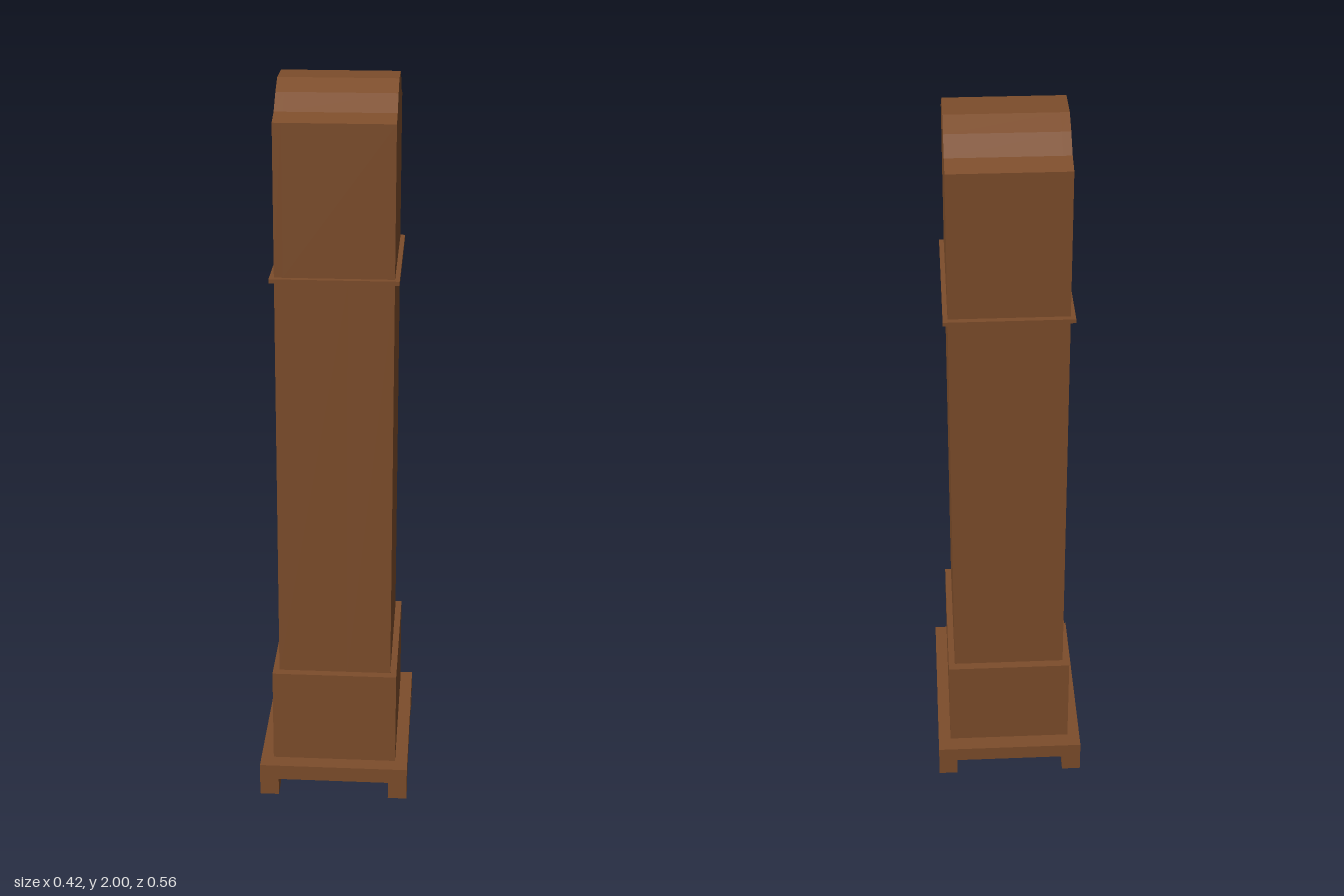
import * as THREE from 'three';

const material = (name, color) => {
  const m = new THREE.MeshStandardMaterial({ color });
  m.name = name;
  return m;
};

export function createModel() {
  const clock = new THREE.Group();
  clock.name = 'longcaseClock';
  const wood = material('brown wood', 0x7d4d2b);
  const white = material('dial white', 0xdedede);
  const dark = material('hand grey', 0x4a4a4a);
  const metal = material('weight grey', 0x6c6f72);

  const add = (name, geometry, mat, x = 0, y = 0, z = 0) => {
    const mesh = new THREE.Mesh(geometry, mat);
    mesh.name = name;
    mesh.position.set(x, y, z);
    clock.add(mesh);
    return mesh;
  };
  // Box spanning y0..y1, centred on x and z
  const block = (name, w, y0, y1, d, x = 0, z = 0) =>
    add(name, new THREE.BoxGeometry(w, y1 - y0, d), wood, x, (y0 + y1) / 2, z);
  // Outline given as [z, y] pairs, extruded along x from x0 to x1;
  // reversed so that the mirrored outline stays counter-clockwise
  const path = pts => pts.map(([z, y]) => new THREE.Vector2(-z, y)).reverse();
  const slab = (name, pts, x0, x1, mat, hole) => {
    const shape = new THREE.Shape(path(pts));
    if (hole) shape.holes.push(new THREE.Path(path(hole).reverse()));
    const g = new THREE.ExtrudeGeometry(shape, { depth: x1 - x0, bevelEnabled: false });
    g.rotateY(Math.PI / 2);
    return add(name, g, mat, x0);
  };
  const rect = (w, y0, y1) => [[-w, y0], [w, y0], [w, y1], [-w, y1]];
  // Cylinder lying along x
  const disc = (name, r, x0, x1, y, z, mat) =>
    add(name, new THREE.CylinderGeometry(r, r, x1 - x0, 48).rotateZ(Math.PI / 2), mat, (x0 + x1) / 2, y, z);

  // Base with four square feet, and the plinth
  for (const sx of [-1, 1]) for (const sz of [-1, 1])
    block('foot', 0.053, 0, 0.05, 0.068, sx * 0.182, sz * 0.244);
  block('base', 0.417, 0.05, 0.094, 0.556);
  block('plinth', 0.347, 0.094, 0.365, 0.464);

  // Trunk: hollow cabinet open towards -x, closed by a solid back
  slab('trunkCabinet', rect(0.208, 0.365, 1.503), -0.156, 0.035, wood, rect(0.163, 0.482, 1.383));
  slab('trunkBack', rect(0.208, 0.365, 1.503), 0.035, 0.156, wood);
  block('waistMoulding', 0.337, 1.503, 1.514, 0.448);

  // Hood with a stepped arch; the dial panel is sunk behind a thin rim
  const arch = (half, bottom, drop) => {
    const side = [[half, 1.915 - drop], [0.155, 1.932 - drop], [0.104, 1.972 - drop], [0.052, 2 - drop]];
    return [[-half, bottom], [half, bottom], ...side, ...side.map(([z, y]) => [-z, y]).reverse()];
  };
  slab('hood', arch(0.208, 1.514, 0), -0.133, 0.156, wood);
  slab('hoodRim', arch(0.208, 1.514, 0), -0.156, -0.133, wood, arch(0.199, 1.524, 0.01));

  // Dial, hub and hands
  const cy = 1.725;
  disc('dial', 0.162, -0.138, -0.133, cy, 0, white);
  disc('hub', 0.011, -0.161, -0.138, cy, 0, dark);
  const hand = (name, dz, dy, width, x) => {
    const l = Math.hypot(dz, dy), nz = -dy / l * width, ny = dz / l * width;
    slab(name, [[-dz * 0.12, cy - dy * 0.12], [dz * 0.2 - nz, cy + dy * 0.2 - ny],
      [dz, cy + dy], [dz * 0.2 + nz, cy + dy * 0.2 + ny]], x, x + 0.005, dark);
  };
  hand('minuteHand', -0.085, 0.09, 0.014, -0.155);
  hand('hourHand', 0.08, 0.01, 0.014, -0.149);

  // Pendulum
  add('pendulumRod', new THREE.BoxGeometry(0.008, 0.67, 0.026), dark, -0.062, 1.05, 0);
  disc('pendulumBob', 0.09, -0.073, -0.055, 0.713, 0, metal);

  // Pair of hanging weights
  for (const z of [-0.085, 0.085]) {
    add('weight', new THREE.CylinderGeometry(0.027, 0.027, 0.16, 32), metal, -0.058, 1.11, z);
    add('weightCord', new THREE.CylinderGeometry(0.008, 0.008, 0.2, 12), metal, -0.058, 1.288, z);
  }
  return clock;
}
